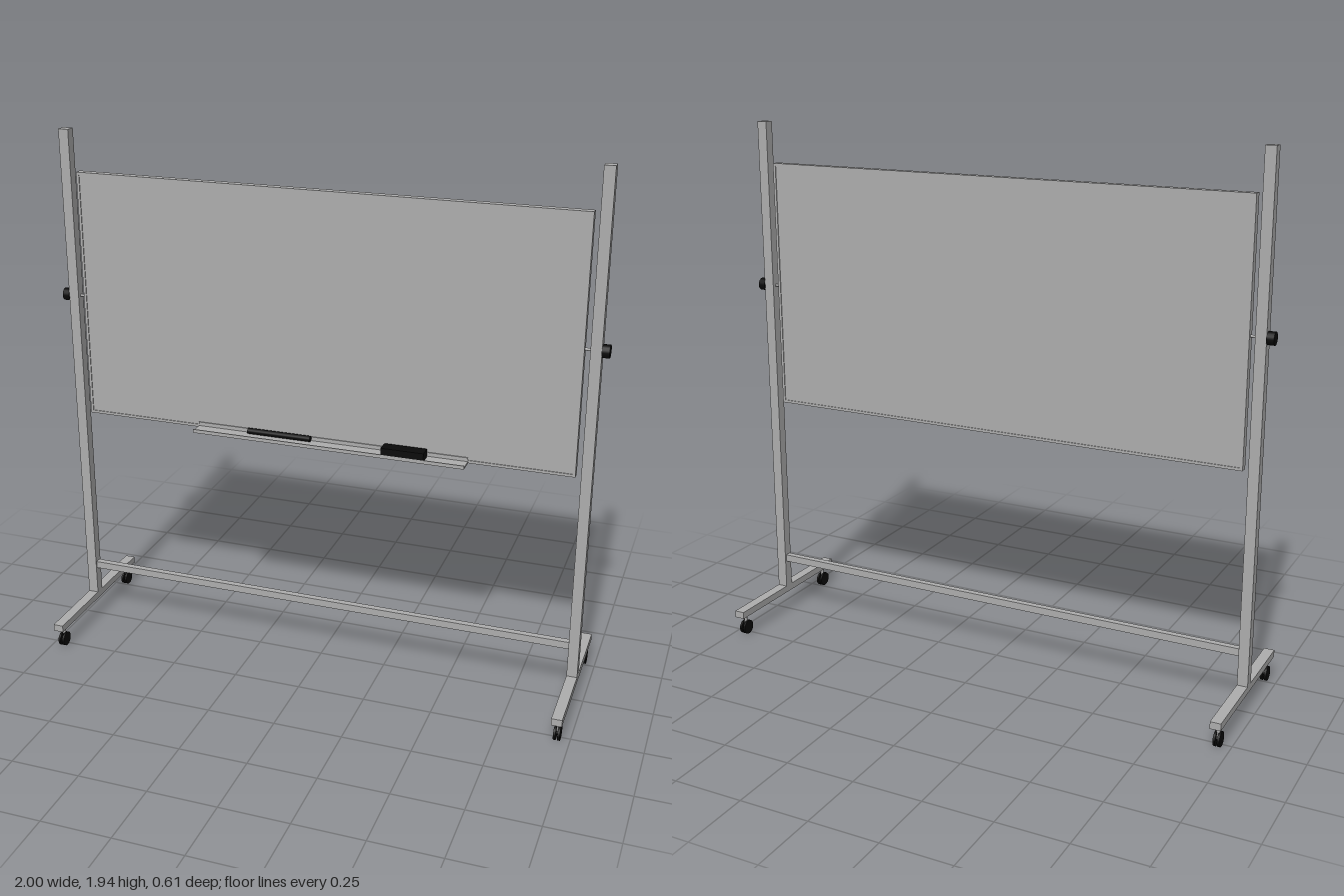
import * as THREE from 'three';

export function createModel() {
  const model = new THREE.Group();
  model.name = 'mobileWhiteboard';
  const grey = new THREE.MeshStandardMaterial({ color: 0xadadad });
  grey.name = 'silver grey';
  const black = new THREE.MeshStandardMaterial({ color: 0x0a0a0a });
  black.name = 'black';

  const add = (name, geometry, material, x = 0, y = 0, z = 0, parent = model) => {
    const mesh = new THREE.Mesh(geometry, material);
    mesh.name = name;
    mesh.position.set(x, y, z);
    parent.add(mesh);
    return mesh;
  };
  // box given by its minimum and maximum corners
  const box = (name, material, [x0, y0, z0], [x1, y1, z1], parent = model) =>
    add(name, new THREE.BoxGeometry(x1 - x0, y1 - y0, z1 - z0), material,
      (x0 + x1) / 2, (y0 + y1) / 2, (z0 + z1) / 2, parent);
  // cylinder lying along x
  const rod = (name, material, radius, length, sides, x, y, z, parent = model) =>
    add(name, new THREE.CylinderGeometry(radius, radius, length, sides).rotateZ(Math.PI / 2),
      material, x, y, z, parent);

  // two-sided board: slightly recessed panel in a thin frame
  const board = new THREE.Group();
  board.name = 'board';
  model.add(board);
  const W = 0.917, B = 0.875, T = 1.79, D = 0.014, rim = 0.01;
  box('panel', grey, [-W + rim, B + rim, -0.011], [W - rim, T - rim, 0.011], board);
  box('frameBottom', grey, [-W, B, -D], [W, B + rim, D], board);
  box('frameTop', grey, [-W, T - rim, -D], [W, T, D], board);
  for (const s of [-1, 1]) {
    add('frameSide', new THREE.BoxGeometry(rim, T - B - 2 * rim, 2 * D), grey,
      s * (W - rim / 2), (T + B) / 2, 0, board);
  }

  // stand: one post, foot, knob and pair of casters on each side
  for (const s of [-1, 1]) {
    const side = new THREE.Group();
    side.name = s > 0 ? 'leftStand' : 'rightStand';
    model.add(side);
    const x = s * 0.956;
    box('post', grey, [x - 0.019, 0.104, -0.018], [x + 0.019, 1.94, 0.018], side);
    box('foot', grey, [x - 0.019, 0.078, -0.305], [x + 0.019, 0.104, 0.305], side);
    rod('pivot', grey, 0.005, 0.022, 12, s * 0.927, 1.33, 0, side);
    rod('knob', black, 0.023, 0.026, 16, s * 0.987, 1.33, 0, side);
    for (const z of [-0.265, 0.265]) {
      const caster = new THREE.Group();
      caster.name = 'caster';
      caster.position.set(x, 0, z);
      side.add(caster);
      add('stem', new THREE.CylinderGeometry(0.006, 0.006, 0.05, 12), grey, 0, 0.053, -0.003, caster);
      rod('axle', black, 0.008, 0.01, 12, 0, 0.027, 0, caster);
      for (const w of [-1, 1]) rod('wheel', black, 0.027, 0.008, 16, w * 0.0075, 0.027, 0, caster);
    }
  }
  box('crossbar', grey, [-0.94, 0.21, -0.012], [0.94, 0.237, 0.012]);

  // pen tray: shallow channel extruded along x
  const profile = new THREE.Shape([
    [0.014, 0.875], [0.074, 0.875], [0.074, 0.888], [0.07, 0.888],
    [0.07, 0.882], [0.018, 0.882], [0.018, 0.896], [0.014, 0.896],
  ].map(([z, y]) => new THREE.Vector2(-z, y)));
  const tray = new THREE.ExtrudeGeometry(profile, { depth: 1.015, bevelEnabled: false });
  tray.rotateY(Math.PI / 2);
  add('penTray', tray, grey, -0.47, 0, 0);

  // marker and eraser resting on the tray
  rod('marker', black, 0.011, 0.24, 12, -0.15, 0.893, 0.03);
  box('eraser', black, [0.245, 0.882, 0.026], [0.4, 0.913, 0.0735]);

  return model;
}
